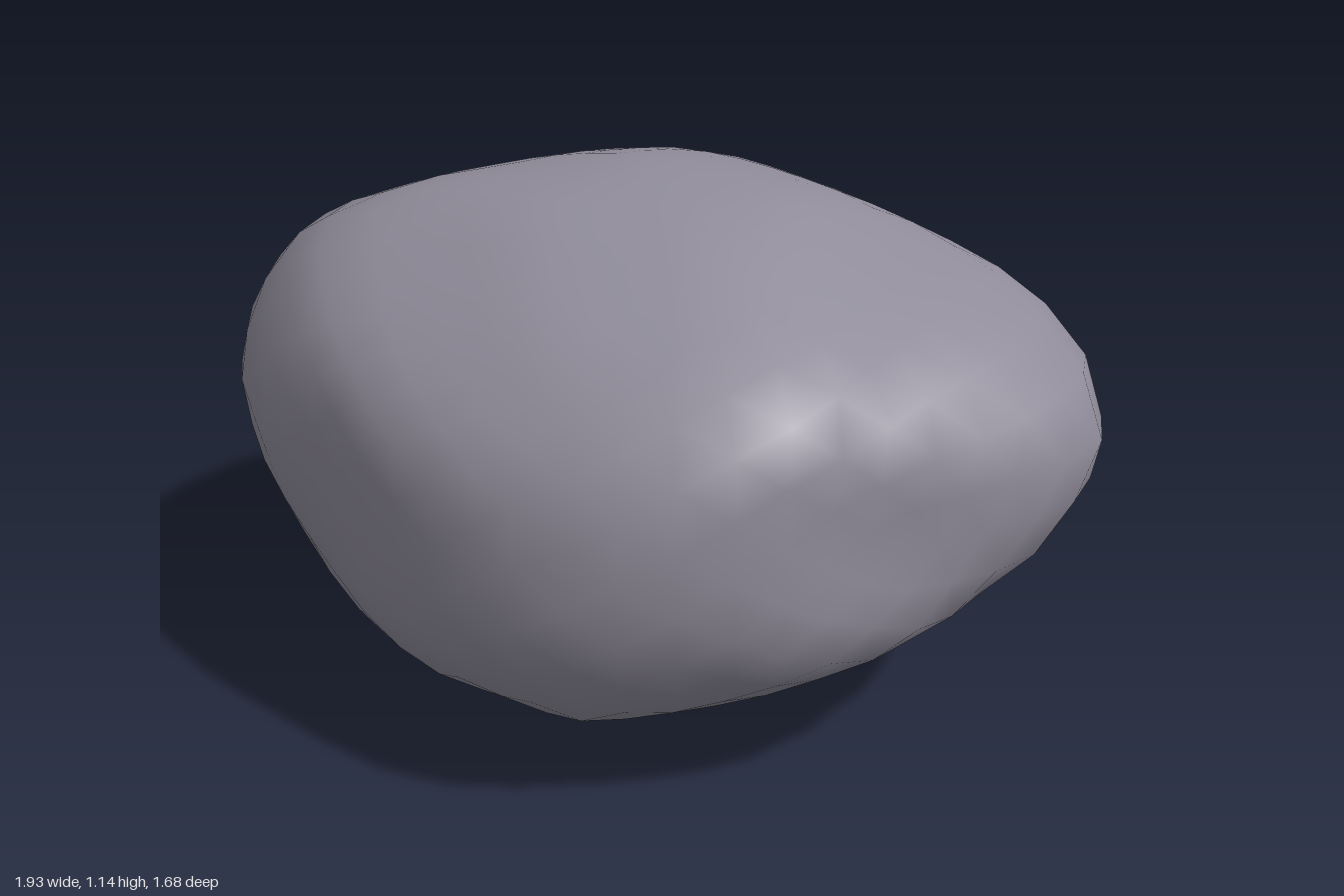
import * as THREE from 'three';
import { mergeVertices } from 'three/addons/utils/BufferGeometryUtils.js';

// Contours of the boulder about its centre, as (across, up) points.
// Each one is a cutting profile, swept along its own direction.
const FRONT = [
  [1, 0.15], [0.92, 0.25], [0.72, 0.38], [0.57, 0.42], [0.33, 0.52], [-0.06, 0.582], [-0.45, 0.53],
  [-0.83, 0.38], [-0.91, 0.29], [-0.98, 0.13], [-1, -0.12], [-0.78, -0.34], [-0.45, -0.52],
  [-0.3, -0.55], [0, -0.583], [0.2, -0.56], [0.33, -0.53], [0.64, -0.36], [0.78, -0.2],
  [0.87, -0.12], [0.97, 0.05],
];
const SIDE = [
  [-0.86, -0.13], [-0.71, -0.39], [-0.4, -0.55], [0.23, -0.58], [0.37, -0.57], [0.68, -0.39],
  [0.86, -0.13], [0.86, -0.05], [0.8, 0.14], [0.57, 0.34], [0.5, 0.37], [0.33, 0.53],
  [0, 0.582], [-0.35, 0.53], [-0.55, 0.41], [-0.62, 0.35], [-0.81, 0.14],
];
const PLAN = [
  [1, 0], [0.95, 0.14], [0.83, 0.36], [0.53, 0.61], [0.15, 0.75], [0.03, 0.77], [-0.16, 0.83],
  [-0.3, 0.86], [-0.45, 0.82], [-0.7, 0.68], [-0.8, 0.5], [-0.91, 0.34], [-1, 0], [-0.97, -0.13],
  [-0.92, -0.36], [-0.82, -0.48], [-0.62, -0.6], [-0.45, -0.65], [-0.26, -0.74], [0, -0.82],
  [0.17, -0.85], [0.32, -0.8], [0.55, -0.66], [0.65, -0.52], [0.8, -0.36], [0.95, -0.13],
];
const FRONT_DIAGONAL = [
  [-0.95, 0.21], [-0.87, 0.36], [-0.76, 0.48], [-0.69, 0.53], [-0.375, 0.56], [-0.12, 0.6],
  [0.06, 0.61], [0.225, 0.57], [0.55, 0.37], [0.76, 0.2], [0.88, 0.04], [0.87, -0.2],
  [0.68, -0.39], [0.39, -0.5], [0.04, -0.6], [-0.3, -0.63], [-0.57, -0.5], [-0.71, -0.35],
  [-0.9, -0.02],
];
const BACK_DIAGONAL = [
  [-0.88, 0.21], [-0.84, 0.34], [-0.73, 0.45], [-0.58, 0.51], [-0.27, 0.55], [-0.17, 0.59],
  [0, 0.6], [0.34, 0.55], [0.72, 0.38], [0.85, 0.21], [0.95, 0.04], [0.93, -0.1], [0.81, -0.35],
  [0.64, -0.49], [0.44, -0.56], [0.16, -0.65], [-0.09, -0.67], [-0.43, -0.55], [-0.65, -0.41],
  [-0.85, -0.06],
];
const UNDER_DIAGONAL = [
  [-0.85, 0.24], [-0.81, 0.375], [-0.71, 0.49], [-0.5, 0.56], [-0.29, 0.6], [0.18, 0.59],
  [0.38, 0.48], [0.71, 0.33], [0.89, 0.145], [0.96, 0], [0.955, -0.07], [0.9, -0.26],
  [0.755, -0.42], [0.57, -0.55], [0.3, -0.65], [0.05, -0.7], [-0.18, -0.675], [-0.55, -0.56],
  [-0.7, -0.36], [-0.84, -0.19], [-0.82, 0.04],
];

// A contour with its sweep direction, given as turn and tilt in degrees
function cutter(contour, turn, tilt) {
  const a = THREE.MathUtils.degToRad(turn), e = THREE.MathUtils.degToRad(tilt);
  return {
    contour,
    across: new THREE.Vector3(Math.cos(a), 0, -Math.sin(a)),
    up: new THREE.Vector3(-Math.sin(a) * Math.sin(e), Math.cos(e), -Math.cos(a) * Math.sin(e)),
  };
}

const CUTTERS = [
  cutter(FRONT, 0, 0), cutter(SIDE, 90, 0), cutter(PLAN, 0, 90),
  cutter(FRONT_DIAGONAL, 37, 25), cutter(BACK_DIAGONAL, 217, 25), cutter(UNDER_DIAGONAL, 143, -25),
];

// Distance from the centre to one swept contour along a direction
function reach({ contour, across, up }, direction) {
  const u = direction.dot(across), v = direction.dot(up);
  let nearest = Infinity;
  contour.forEach(([px, py], i) => {
    const [qx, qy] = contour[(i + 1) % contour.length];
    const ex = qx - px, ey = qy - py;
    const det = u * ey - v * ex;
    if (Math.abs(det) < 1e-9) return;
    const t = (px * ey - py * ex) / det;
    const s = (px * v - py * u) / det;
    if (t > 0 && s >= -1e-6 && s <= 1 + 1e-6) nearest = Math.min(nearest, t);
  });
  return nearest;
}

// Sphere carved by all the contours, with the ridges between them rounded
function carvedStone() {
  const sphere = new THREE.IcosahedronGeometry(1, 8);
  sphere.deleteAttribute('uv');
  sphere.deleteAttribute('normal');
  const geometry = mergeVertices(sphere, 1e-4);
  const position = geometry.attributes.position;
  const direction = new THREE.Vector3();
  const power = 24;
  for (let i = 0; i < position.count; i++) {
    direction.fromBufferAttribute(position, i).normalize();
    const sum = CUTTERS.reduce((total, c) => total + reach(c, direction) ** -power, 0);
    direction.multiplyScalar(1.015 * sum ** (-1 / power));
    position.setXYZ(i, direction.x, direction.y, direction.z);
  }
  geometry.computeVertexNormals();
  return geometry;
}

export function createModel() {
  const stone = new THREE.MeshStandardMaterial({ color: 0x8f8b99 });
  stone.name = 'greyStone';
  const group = new THREE.Group();
  group.name = 'rock';
  const boulder = new THREE.Mesh(carvedStone(), stone);
  boulder.name = 'boulder';
  boulder.position.y = 0.583;
  group.add(boulder);
  return group;
}
